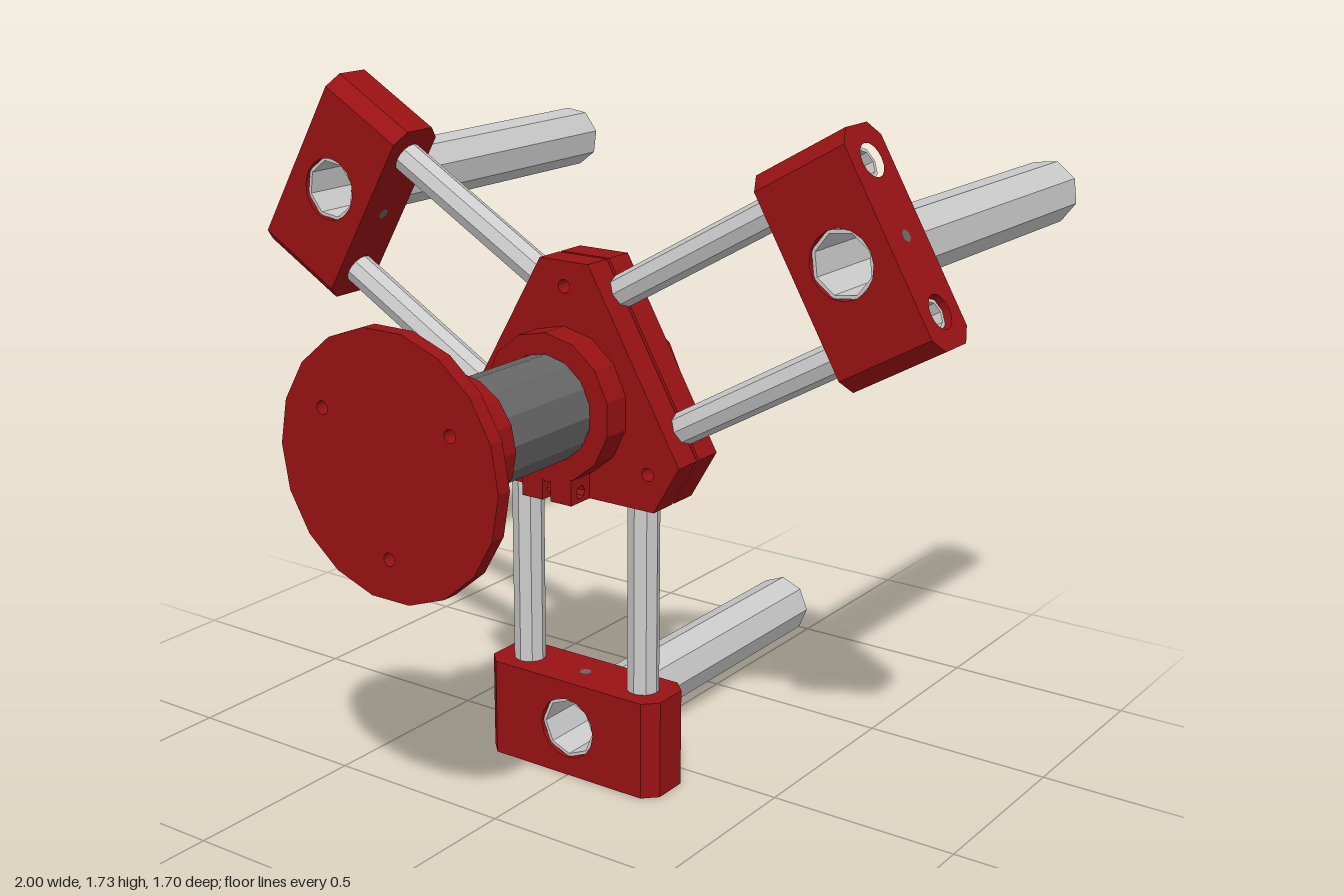
import * as THREE from 'three';

const red = new THREE.MeshStandardMaterial({ color: 0x991214, flatShading: true });
const grey = new THREE.MeshStandardMaterial({ color: 0xcccccc, flatShading: true });
const dark = new THREE.MeshStandardMaterial({ color: 0x666666, flatShading: true });

const HUB_Y = 1.005;  // height of the hub axis
const MID_Z = 0.1225; // mid plane of the arms

function add(parent, name, geometry, material) {
  const mesh = new THREE.Mesh(geometry, material);
  mesh.name = name;
  parent.add(mesh);
  return mesh;
}

const shapeOf = pts => new THREE.Shape(pts.map(p => new THREE.Vector2(p[0], p[1])));

function punch(shape, x, y, r) {
  shape.holes.push(new THREE.Path().absarc(x, y, r, 0, Math.PI * 2, true));
  return shape;
}

const extrude = (shape, depth, curveSegments = 8) =>
  new THREE.ExtrudeGeometry(shape, { depth, bevelEnabled: false, curveSegments });

const lathe = (pts, sides) =>
  new THREE.LatheGeometry(pts.map(p => new THREE.Vector2(p[0], p[1])), sides);

// Open pipe along +y from a to b
const pipe = (outer, inner, a, b, sides) =>
  lathe([[inner, a], [outer, a], [outer, b], [inner, b], [inner, a]], sides);

// One arm pointing along +y: clamp block, two struts and a long pipe to the back
function createArm() {
  const arm = new THREE.Group();
  arm.name = 'arm';
  const r0 = 0.745, r1 = 1.003, h = 0.0815, split = 0.1, end = 0.265, c = 0.035;
  const pipeR = 0.873;

  // Middle of the block, bored for the long pipe
  const middle = shapeOf([[-split, r0], [split, r0], [split, r1], [-split, r1]]);
  punch(middle, 0, pipeR, 0.081);
  add(arm, 'blockMiddle', extrude(middle, 2 * h).translate(0, 0, MID_Z - h), red);

  for (const s of [-1, 1]) {
    // Chamfered end of the block, bored for the strut
    const side = shapeOf([[s * split, -h], [s * (end - c), -h], [s * end, -h + c],
      [s * end, h - c], [s * (end - c), h], [s * split, h]]);
    punch(side, s * 0.18, 0, 0.041);
    add(arm, 'blockEnd', extrude(side, r1 - r0).rotateX(-Math.PI / 2).translate(0, r0, MID_Z), red);

    add(arm, 'strut', pipe(0.041, 0.032, 0.14, 0.985, 8).translate(s * 0.18, 0, MID_Z), grey);
  }

  // Screw holes on the inner and outer faces of the block
  for (const [y, turn] of [[r1 + 0.001, -1], [r0 - 0.001, 1]]) {
    add(arm, 'screwHole', new THREE.CircleGeometry(0.016, 6)
      .rotateX(turn * Math.PI / 2).translate(0, y, MID_Z), dark);
  }

  add(arm, 'longPipe', pipe(0.083, 0.074, -0.85, 0.195, 8)
    .rotateX(Math.PI / 2).translate(0, pipeR, 0), grey);
  return arm;
}

// Two clamp plates with collars and split lugs around the central pipe
function createHub() {
  const hub = new THREE.Group();
  hub.name = 'hub';

  // Six-sided outline: three long sides facing the arms, three short corners
  const outline = [], corners = [];
  for (let i = 0; i < 3; i++) {
    const a = Math.PI / 6 + i * Math.PI * 2 / 3;
    for (const t of [-0.265, 0.265]) {
      outline.push([0.236 * Math.cos(a) - t * Math.sin(a), 0.236 * Math.sin(a) + t * Math.cos(a)]);
    }
    corners.push(a + Math.PI / 3);
  }
  const plate = punch(shapeOf(outline), 0, 0, 0.134);
  for (const a of corners) punch(plate, 0.285 * Math.cos(a), 0.285 * Math.sin(a), 0.017);

  for (const s of [-1, 1]) {
    const inner = MID_Z + s * 0.005, mid = MID_Z + s * 0.0815, outer = MID_Z + s * 0.157;
    const lo = Math.min(inner, mid);
    add(hub, 'clampPlate', extrude(plate, Math.abs(mid - inner), 6).translate(0, 0, lo), red);
    const a = Math.min(mid, outer), b = Math.max(mid, outer);
    add(hub, 'collar', pipe(0.187, 0.134, a, b, 14).rotateX(Math.PI / 2), red);

    // Split lugs below the collar, bored sideways
    const lug = punch(shapeOf([[-b, -0.236], [-a, -0.236], [-a, -0.15], [-b, -0.15]]),
      -(a + b) / 2, -0.21, 0.017);
    for (const x of [-0.075, 0.012]) {
      add(hub, 'clampLug', extrude(lug, 0.063, 4).rotateY(Math.PI / 2).translate(x, 0, 0), red);
    }
  }
  add(hub, 'centralPipe', pipe(0.133, 0.118, -0.03, 0.7, 12).rotateX(Math.PI / 2), dark);
  return hub;
}

// Round mounting foot at the front
function createFlange() {
  const flange = new THREE.Group();
  flange.name = 'flange';
  const flare = lathe([[0.13, 0.6], [0.163, 0.6], [0.163, 0.68], [0.173, 0.725], [0.2, 0.765],
    [0.245, 0.798], [0.3, 0.815], [0, 0.815]], 16);
  add(flange, 'flare', flare.rotateX(Math.PI / 2), red);

  const disc = new THREE.Shape().absarc(0, 0, 0.316, 0, Math.PI * 2);
  for (let i = 0; i < 3; i++) {
    const a = Math.PI / 6 + i * Math.PI * 2 / 3;
    punch(disc, 0.214 * Math.cos(a), 0.214 * Math.sin(a), 0.016);
  }
  add(flange, 'disc', extrude(disc, 0.039, 9).translate(0, 0, 0.815), red);

  // Set-screw holes around the neck
  for (let i = 0; i < 3; i++) {
    add(flange, 'setScrewHole', new THREE.CircleGeometry(0.016, 6).rotateX(-Math.PI / 2)
      .translate(0, 0.164, 0.645).rotateZ(i * Math.PI * 2 / 3), dark);
  }
  return flange;
}

export function createModel() {
  const model = new THREE.Group();
  model.name = 'threeArmFrame';
  const body = new THREE.Group();
  body.name = 'body';
  body.position.y = HUB_Y;
  model.add(body);

  body.add(createHub(), createFlange());
  for (let i = 0; i < 3; i++) {
    const arm = createArm();
    arm.rotation.z = Math.PI + i * Math.PI * 2 / 3;
    body.add(arm);
  }
  return model;
}
